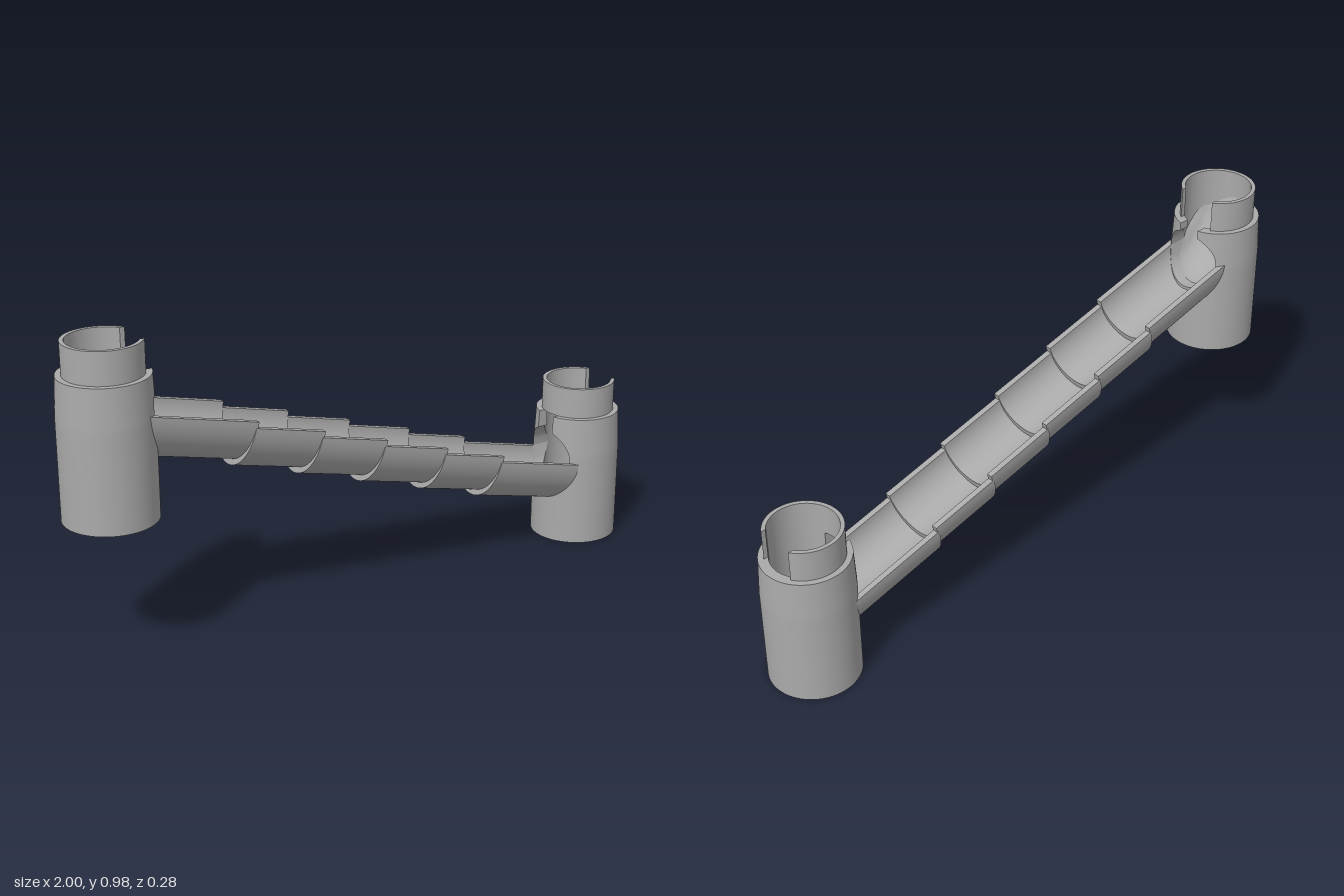
import * as THREE from 'three';
import { mergeGeometries } from 'three/addons/utils/BufferGeometryUtils.js';

const POST_X = 0.858, BODY_H = 0.435, WALL_R = 0.142, BORE_R = 0.105;
const HOLE_R = 0.097, SLOT = 0.036;

// Grid of (a, b) in 0..1; the face normal points along da x db unless flipped
function sheet(point, na, nb, flip) {
  const pos = [], idx = [];
  for (let j = 0; j <= nb; j++) for (let i = 0; i <= na; i++) pos.push(...point(i / na, j / nb));
  for (let j = 0; j < nb; j++) for (let i = 0; i < na; i++) {
    const a = j * (na + 1) + i, b = a + 1, c = b + na + 1, d = a + na + 1;
    if (flip) idx.push(a, c, b, a, d, c);
    else idx.push(a, b, c, a, c, d);
  }
  const g = new THREE.BufferGeometry();
  g.setAttribute('position', new THREE.Float32BufferAttribute(pos, 3));
  g.setIndex(idx);
  g.computeVertexNormals();
  return g;
}

// Closed shell: f(u, v, s), where s runs from the inner (0) to the outer (1) skin
function shell(f, nu, nv) {
  const faces = [];
  for (const e of [0, 1]) {
    faces.push(sheet((u, v) => f(u, v, e), nu, nv, !e));
    faces.push(sheet((v, s) => f(e, v, s), nv, 1, !e));
    faces.push(sheet((s, u) => f(u, e, s), 1, nu, !e));
  }
  return mergeGeometries(faces);
}

const lerp = THREE.MathUtils.lerp;
const halfCircle = (z, r) => Math.sqrt(Math.max(0, r * r - z * z));
const around = (r, a, y) => [r * Math.cos(a), y, -r * Math.sin(a)];

// Outer skin narrows near the top; the bore widens into a socket at the bottom
const outerR = y => WALL_R - 0.006 * THREE.MathUtils.clamp((y - 0.31) / (BODY_H - 0.31), 0, 1);
const innerR = y => BORE_R + 0.014 * THREE.MathUtils.clamp((0.13 - y) / 0.015, 0, 1);

// Piece of post wall in front of the opening, between two z values
function wallStrip(z0, z1, low, high) {
  return shell((u, v, s) => {
    const z = lerp(z0, z1, u), y = lerp(low(z), high(z), v);
    const r = s ? outerR(y) : innerR(y);
    return around(r, Math.asin(z / r), y);
  }, 20, 10);
}

// Post wall or ring that leaves a gap of half-width w on the +x side
function openRing(w, y0, y1, rOut, rIn, rows) {
  return shell((u, v, s) => {
    const y = lerp(y0, y1, v), r = s ? rOut(y) : rIn(y), a = Math.asin(w / r);
    return around(r, lerp(a, 2 * Math.PI - a, u), y);
  }, 72, rows);
}

function makePost(name, x, y, turn, holeY, material) {
  const post = new THREE.Group();
  post.name = name;
  post.position.set(x, y, 0);
  const bottom = () => 0, top = () => BODY_H;
  const under = z => holeY - halfCircle(z, HOLE_R);
  const over = z => holeY + halfCircle(z, HOLE_R);

  // Body with a round opening joined to a narrow slot at the top
  const body = new THREE.Mesh(mergeGeometries([
    openRing(HOLE_R, 0, BODY_H, outerR, innerR, 40),
    wallStrip(-HOLE_R, HOLE_R, bottom, under),
    wallStrip(SLOT, HOLE_R, over, top),
    wallStrip(-HOLE_R, -SLOT, over, top),
  ]), material);
  body.name = 'postBody';
  body.rotation.y = turn;

  // Slotted collar that plugs into the next post
  const collar = new THREE.Mesh(
    openRing(0.062, BODY_H, BODY_H + 0.1, () => 0.118, () => BORE_R, 1), material);
  collar.name = 'collar';
  post.add(body, collar);
  return post;
}

// Overlapping trough sections stepping down from one post to the other
function makeGutter(material) {
  const gutter = new THREE.Group();
  gutter.name = 'gutter';
  const joints = [-0.43, -0.205, 0.018, 0.245, 0.467];
  const postEdge = z => POST_X - halfCircle(z, 0.126);
  for (let k = 0; k <= joints.length; k++) {
    const rim = x => 0.76 - 0.247 * (x + 0.765) - 0.02 * k;
    const geo = shell((u, v, s) => {
      const a = Math.PI * u;
      const z = (s ? 0.116 : HOLE_R) * Math.cos(a);
      const dy = -(s ? 0.148 : HOLE_R) * Math.sin(a);
      const x0 = k === 0 ? -postEdge(z) : joints[k - 1] + 0.25 * dy - 0.01;
      const x1 = k === joints.length ? postEdge(z) : joints[k] + 0.25 * dy;
      const x = lerp(x0, x1, v);
      return [x, rim(x) + dy, z];
    }, 36, 4);
    const section = new THREE.Mesh(geo, material);
    section.name = 'gutterSection' + (k + 1);
    gutter.add(section);
  }
  return gutter;
}

// Curved ramp inside the high post that turns a drop into the gutter
function makeRamp(material) {
  const r = 0.109;
  const geo = shell((u, v, s) => {
    const x = lerp(-r, r, v), z = lerp(-1, 1, u) * halfCircle(x, r);
    const rise = 0.24 * Math.pow((r - x) / (2 * r), 2.2);
    const trough = HOLE_R - halfCircle(z, HOLE_R);
    return [x - POST_X, 0.657 + rise + trough - (s ? 0 : 0.015), z];
  }, 24, 32);
  const ramp = new THREE.Mesh(geo, material);
  ramp.name = 'entryRamp';
  return ramp;
}

export function createModel() {
  const grey = new THREE.MeshStandardMaterial({ color: 0xaaaaaa });
  grey.name = 'plainGrey';
  const model = new THREE.Group();
  model.name = 'marbleRunRamp';
  model.add(
    makePost('highPost', -POST_X, 0.44, 0, 0.318, grey),
    makePost('lowPost', POST_X, 0, Math.PI, 0.287, grey),
    makeGutter(grey),
    makeRamp(grey),
  );
  return model;
}
